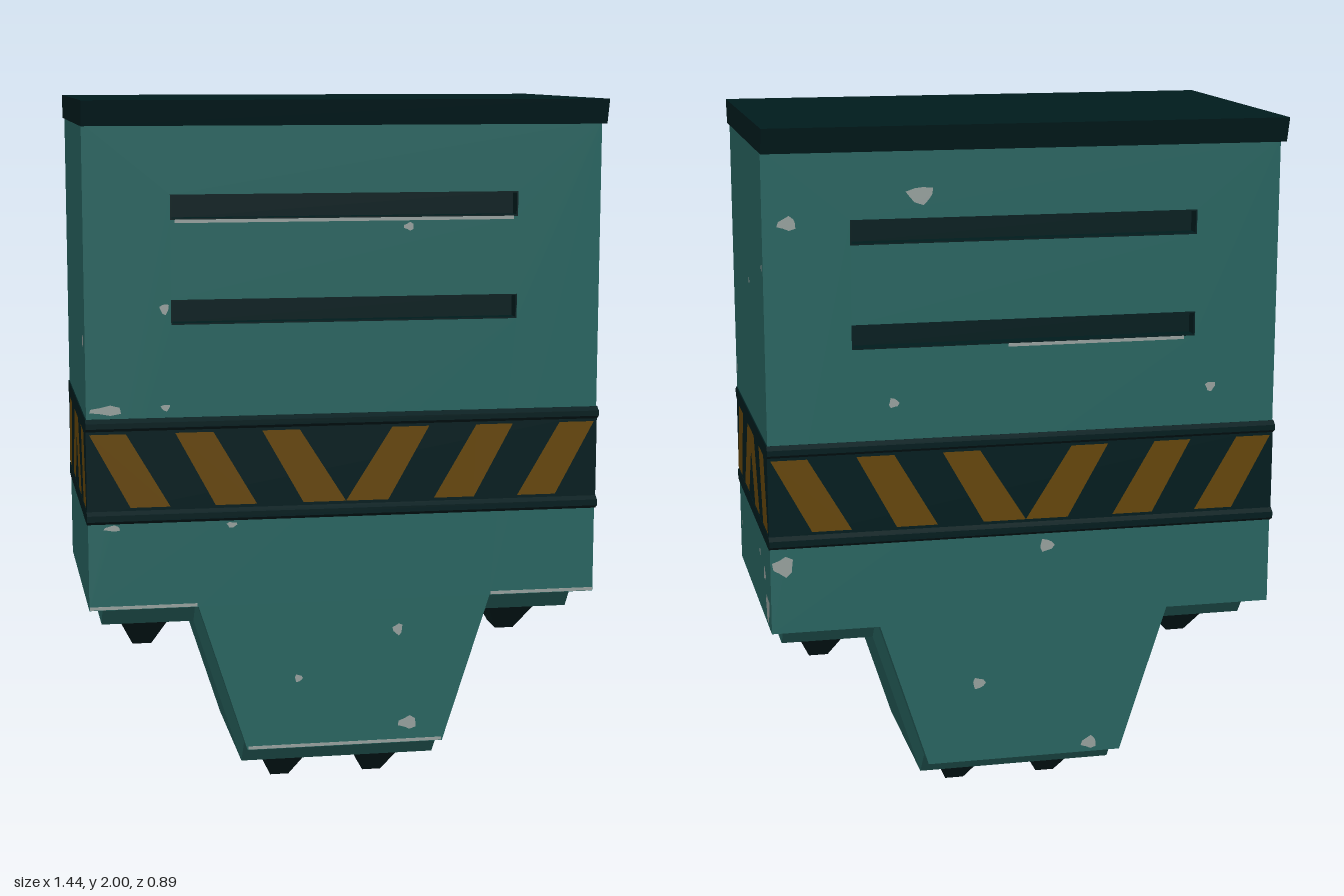
import * as THREE from 'three';

const paint = (name, color) => {
  const m = new THREE.MeshStandardMaterial({ color });
  m.name = name;
  return m;
};
const points = (pts) => pts.map(([x, y]) => new THREE.Vector2(x, y));
const shapeOf = (pts) => new THREE.Shape(points(pts));
const rect = (w, h, y = 0) => [[-w / 2, y - h / 2], [w / 2, y - h / 2], [w / 2, y + h / 2], [-w / 2, y + h / 2]];
const extrude = (shape, depth) => new THREE.ExtrudeGeometry(shape, { depth, bevelEnabled: false });

// z-y outline swept along x, centred
function alongX(pts, length) {
  return extrude(shapeOf(pts), length).translate(0, 0, -length / 2).rotateY(Math.PI / 2);
}

// rectangular block whose lower end shrinks
function taperedBlock(w, h, d, tipW, tipD) {
  const g = new THREE.BoxGeometry(w, h, d).toNonIndexed();
  const p = g.attributes.position;
  for (let i = 0; i < p.count; i++) {
    if (p.getY(i) < 0) {
      p.setX(i, Math.sign(p.getX(i)) * tipW / 2);
      p.setZ(i, Math.sign(p.getZ(i)) * tipD / 2);
    }
  }
  g.computeVertexNormals();
  return g;
}

// bevelled raised strip that follows the lower outline
function undersideShell(chain, drop, zWide, zNarrow) {
  const rings = chain.map(([x, y]) => [
    [x, y, zWide], [x, y - drop, zNarrow], [x, y - drop, -zNarrow], [x, y, -zWide]]);
  const v = [];
  const quad = (a, b, c, d) => v.push(...a, ...b, ...c, ...a, ...c, ...d);
  for (let i = 0; i < rings.length - 1; i++) {
    for (let j = 0; j < 3; j++) quad(rings[i][j], rings[i][j + 1], rings[i + 1][j + 1], rings[i + 1][j]);
  }
  const s = rings[0], e = rings[rings.length - 1];
  quad(s[0], s[3], s[2], s[1]);
  quad(e[0], e[1], e[2], e[3]);
  const g = new THREE.BufferGeometry();
  g.setAttribute('position', new THREE.Float32BufferAttribute(v, 3));
  g.computeVertexNormals();
  return g;
}

// small ragged paint chip
function chip([x, y, rx, ry], z) {
  const pts = [];
  for (let i = 0; i < 9; i++) {
    const a = i / 9 * Math.PI * 2, r = 0.9 + 0.2 * Math.sin(i * 4.1 + x * 30);
    pts.push([x + Math.cos(a) * rx * r, y + Math.sin(a) * ry * r]);
  }
  return new THREE.ShapeGeometry(shapeOf(pts)).translate(0, 0, z);
}

export function createModel() {
  const teal = paint('teal paint', 0x27635f);
  const dark = paint('dark metal', 0x001b1d);
  const amber = paint('amber stripe', 0x644508);
  const worn = paint('worn metal', 0x959f9c);
  // open surfaces
  worn.side = amber.side = THREE.DoubleSide;

  const model = new THREE.Group();
  model.name = 'hopperUnit';
  const add = (name, geometry, material, parent = model) => {
    const m = new THREE.Mesh(geometry, material);
    m.name = name;
    parent.add(m);
    return m;
  };

  const W = 0.717, D = 0.385, CORE = 0.34;
  const lower = [[-0.415, 0.608], [-0.28, 0.187], [0.28, 0.187], [0.415, 0.608]];
  const outline = [[-W, 1.94], [-W, 0.608], ...lower, [W, 0.608], [W, 1.94]];
  const slots = [1.43, 1.714];

  // Body core
  add('bodyCore', extrude(shapeOf(outline), CORE * 2).translate(0, 0, -CORE), teal);

  // Front and back panels with recessed vents
  const panelShape = shapeOf(outline);
  for (const y of slots) panelShape.holes.push(new THREE.Path(points(rect(0.964, 0.068, y))));
  const panelGeo = extrude(panelShape, D - CORE).translate(0, 0, CORE);
  const liningShape = shapeOf(rect(0.964, 0.068));
  liningShape.holes.push(new THREE.Path(points(rect(0.956, 0.06))));
  const liningGeo = extrude(liningShape, 0.0445).translate(0, 0, CORE);
  const ventBackGeo = new THREE.BoxGeometry(0.96, 0.064, 0.006).translate(0, 0, CORE);

  // Warning stripes for the wide and the narrow sides
  const stripe = (x0, x1, b0, b1) => [[x0, 1.1], [b0, 0.895], [b1, 0.895], [x1, 1.1]];
  const mirror = (pts) => pts.map(([x, y]) => [-x, y]).reverse();
  const wide = [stripe(-0.71, -0.61, -0.6, -0.49), stripe(-0.475, -0.37, -0.365, -0.25),
    stripe(-0.235, -0.13, -0.12, 0)];
  const edge = stripe(-0.31, -0.2, -0.38, -0.27);
  const peak = [[-0.185, 0.895], [-0.075, 0.895], [-0.006, 1.03], [0.006, 1.03],
    [0.075, 0.895], [0.185, 0.895], [0.08, 1.1], [-0.08, 1.1]];
  const wideGeo = new THREE.ShapeGeometry([...wide, ...wide.map(mirror)].map(shapeOf));
  const narrowGeo = new THREE.ShapeGeometry([edge, peak, mirror(edge)].map(shapeOf));

  // Chips per side: x, y, half width, half height
  const chips = {
    front: [[-0.66, 1.165, 0.05, 0.014], [-0.5, 1.17, 0.014, 0.01], [-0.5, 1.44, 0.014, 0.016],
      [0.18, 0.245, 0.03, 0.02], [0.15, 0.52, 0.016, 0.018], [-0.135, 0.39, 0.012, 0.012],
      [0.175, 1.655, 0.016, 0.012], [-0.65, 0.838, 0.025, 0.009], [-0.32, 0.838, 0.016, 0.009]],
    back: [[-0.29, 1.81, 0.04, 0.026], [-0.65, 1.743, 0.028, 0.02], [-0.37, 1.245, 0.015, 0.015],
      [-0.68, 0.8, 0.033, 0.03], [0.06, 0.815, 0.022, 0.02], [0.53, 1.25, 0.016, 0.015],
      [-0.135, 0.42, 0.02, 0.018], [0.19, 0.215, 0.025, 0.02]],
    left: [[0.315, 0.66, 0.045, 0.042], [0.255, 0.745, 0.026, 0.022], [0.15, 0.78, 0.012, 0.012],
      [-0.35, 1.21, 0.012, 0.016], [-0.335, 0.73, 0.014, 0.01], [0.365, 1.625, 0.014, 0.01],
      [0.05, 1.54, 0.01, 0.01]],
    right: [[0.316, 1.35, 0.025, 0.02]],
  };
  // Scuffed edges: x, y, length
  const ledges = [[-0.567, 0.614, 0.298], [0.567, 0.614, 0.298], [0, 0.193, 0.555]];
  const scuffs = {
    front: [...ledges, [0, 1.676, 0.94]],
    back: [[0.2, 1.392, 0.5]],
  };

  for (const [name, turn] of [['front', 0], ['back', Math.PI]]) {
    const side = new THREE.Group();
    side.name = name + 'Side';
    side.rotation.y = turn;
    model.add(side);
    add('ventPanel', panelGeo, teal, side);
    for (const y of slots) {
      add('ventLining', liningGeo, dark, side).position.y = y;
      add('ventBack', ventBackGeo, dark, side).position.y = y;
    }
    add('stripes', wideGeo, amber, side).position.z = 0.3885;
    for (const c of chips[name]) add('paintChip', chip(c, D + 0.0015), worn, side);
    for (const [x, y, w] of scuffs[name]) {
      add('scuffedEdge', new THREE.BoxGeometry(w, 0.009, 0.003), worn, side).position.set(x, y, D);
    }
  }
  for (const [name, turn] of [['left', 1], ['right', -1]]) {
    const side = new THREE.Group();
    side.name = name + 'Side';
    side.rotation.y = turn * Math.PI / 2;
    model.add(side);
    add('stripes', narrowGeo, amber, side).position.z = 0.7205;
    for (const c of chips[name]) add('paintChip', chip(c, W + 0.0015), worn, side);
  }

  // Hazard band with its two chamfered rims
  add('hazardBand', new THREE.BoxGeometry(0.719 * 2, 0.25, 0.387 * 2), dark).position.y = 0.998;
  for (const [y0, y1] of [[0.85, 0.887], [1.107, 1.142]]) {
    add('bandRim', alongX([[-0.386, y0], [0.386, y0], [0.402, y0 + 0.01], [0.402, y1 - 0.01],
      [0.386, y1], [-0.386, y1], [-0.402, y1 - 0.01], [-0.402, y0 + 0.01]], 1.44), dark);
  }

  // Flared lid
  add('lid', alongX([[-0.425, 1.932], [0.425, 1.932], [0.445, 2], [-0.445, 2]], 1.44), dark);

  // Raised underside and its dark pads
  add('undersideShell', undersideShell([[-0.675, 0.608], ...lower, [0.675, 0.608]], 0.074, 0.31, 0.25), teal);
  for (const [x, y, w] of [[-0.54, 0.534, 0.22], [0.54, 0.534, 0.22], [0, 0.113, 0.51]]) {
    add('footPad', new THREE.BoxGeometry(w, 0.005, 0.45), dark).position.set(x, y, 0);
  }

  // Tapered feet
  const foot = taperedBlock(0.16, 0.113, 0.32, 0.055, 0.1);
  for (const s of [-1, 1]) {
    add('outerFoot', foot, dark).position.set(s * 0.545, 0.4775, 0);
    add('innerFoot', foot, dark).position.set(s * 0.14, 0.0565, 0);
  }
  return model;
}
